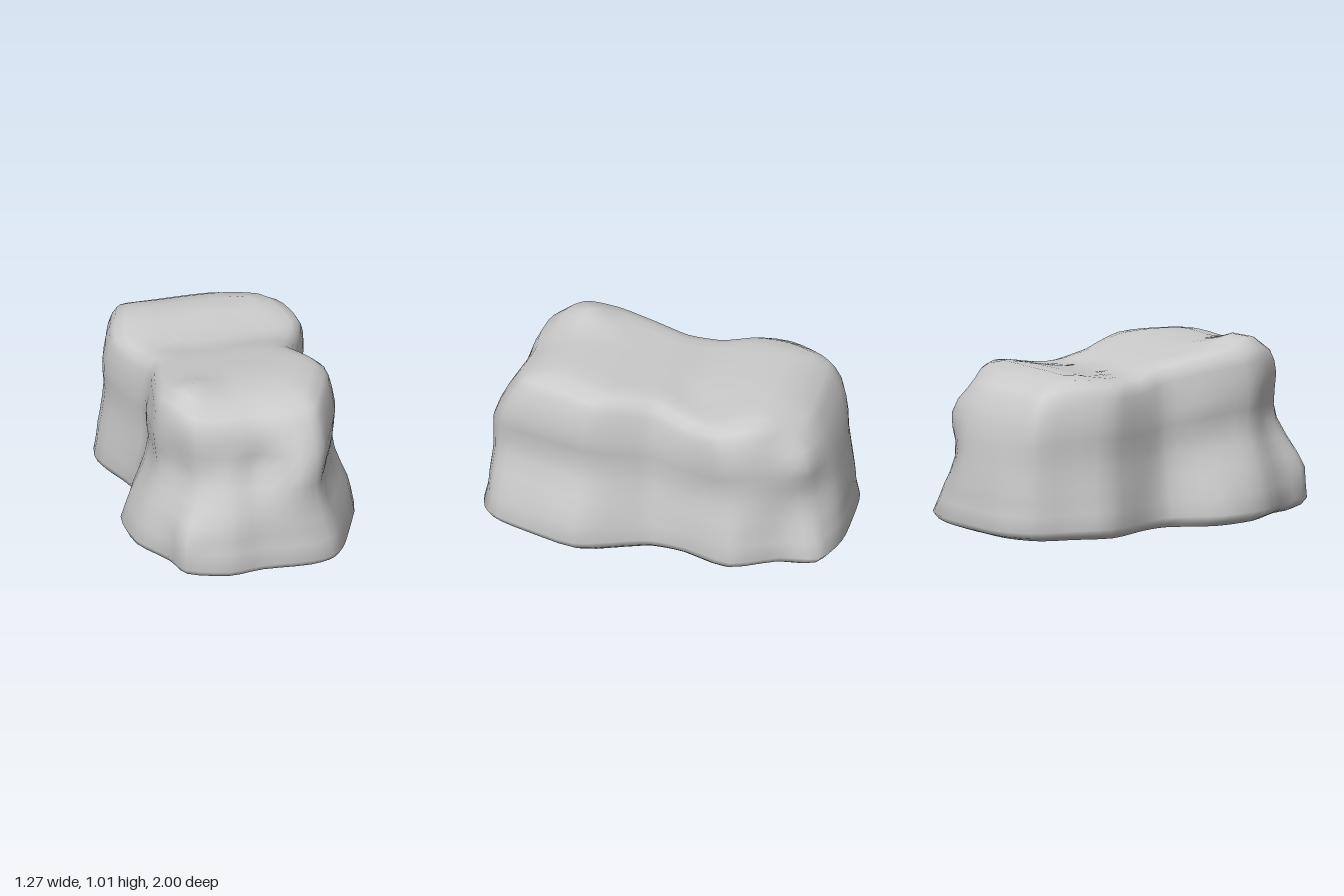
import * as THREE from 'three';

// Plan outlines as x, z pairs, running from the front round by +x
const FOOT = [0, .97, .27, .98, .43, .92, .53, .72, .63, .4, .55, .15, .5, 0, .52, -.2,
  .62, -.47, .5, -.72, .46, -.93, .25, -1, 0, -1, -.24, -.98, -.42, -.88, -.5, -.7,
  -.59, -.47, -.49, -.18, -.48, 0, -.62, .25, -.61, .52, -.48, .75, -.42, .92, -.2, 1];
const SHOULDER = [0, .79, .2, .81, .35, .78, .44, .6, .53, .34, .47, .13, .43, 0, .48, -.18,
  .56, -.4, .49, -.62, .41, -.81, .2, -.83, 0, -.83, -.22, -.82, -.4, -.82, -.47, -.65,
  -.53, -.4, -.46, -.18, -.41, 0, -.45, .2, -.5, .48, -.45, .65, -.36, .79, -.18, .81];

// Levels: [height share, scale, blend to shoulder in x, blend in z]
const LEVELS = [
  [.02, .3, 0, 0], [.024, .7, 0, 0], [.034, .91, 0, 0], [.06, .97, 0, 0], [.1, 1, 0, 0],
  [.2, .995, .18, .09], [.28, 1, .36, .14], [.36, 1, .58, .19], [.46, 1, .8, .27], [.56, 1, .92, .36],
  [.65, 1.01, .88, .48], [.74, 1.01, .88, .6], [.83, 1, 1, .72], [.9, .97, 1, .82],
  [.95, .93, 1, .84], [.985, .84, 1, 1], [1, .7, 1, 1], [1, .55, 1, 1], [1, .4, 1, 1], [1, .25, 1, 1], [1, .12, 1, 1],
];

// Ridge line of the top along z
const RIDGE = [[-1, .82], [-.8, .86], [-.57, .91], [-.4, .88], [-.2, .85], [0, .9], [.35, .96], [.6, .965], [.8, .94], [1, .92]];

// Hollows and swellings: [centre x, y, z, radius, shift x, y, z]
const DENTS = [
  [-.46, .58, .83, .24, .055, 0, -.09],  // hollow above the left front foot
  [-.45, .28, .9, .13, -.03, 0, .03],    // left front foot
  [-.18, .62, .87, .17, 0, 0, -.065],    // broad front hollow
  [.03, .62, .88, .11, 0, 0, -.065],     // front pit
  [.24, .6, .9, .14, 0, 0, .035],        // front column
  [.47, .48, .8, .18, -.03, 0, -.01],    // right front corner
  [.6, .2, .42, .16, .015, 0, 0],        // right front swelling
  [.55, .52, .48, .18, -.025, 0, 0],     // right front side
  [-.48, .6, .45, .2, .025, 0, 0],       // left front side
  [.54, .47, -.36, .18, -.025, 0, 0],    // right back side
  [.45, .4, -.93, .22, -.065, 0, .055],  // right back corner
  [.42, .82, -.8, .16, -.04, -.02, .05], // right back shoulder
];

function ridge(z) {
  let i = 0;
  while (i < RIDGE.length - 2 && z > RIDGE[i + 1][0]) i++;
  const [a, b] = [RIDGE[i], RIDGE[i + 1]];
  return THREE.MathUtils.lerp(a[1], b[1], THREE.MathUtils.clamp((z - a[0]) / (b[0] - a[0]), 0, 1));
}

// Top surface with a raised left front knob and a lower right back
function topHeight(x, z) {
  const knob = Math.exp(-((x + .32) ** 2 + (z - .57) ** 2) / .02);
  const dip = Math.exp(-((x - .4) ** 2 + (z + .3) ** 2) / .06);
  return (ridge(z - .06) + ridge(z) + ridge(z + .06)) / 3 + .06 * knob - .02 * dip;
}

function outline(flat) {
  const points = [];
  for (let i = 0; i < flat.length; i += 2) points.push(new THREE.Vector3(flat[i], 0, flat[i + 1]));
  return new THREE.CatmullRomCurve3(points, true, 'catmullrom', .4);
}

function dent(p) {
  const shift = new THREE.Vector3();
  for (const [x, y, z, r, dx, dy, dz] of DENTS) {
    const d2 = (p.x - x) ** 2 + (p.y - y) ** 2 + (p.z - z) ** 2;
    shift.addScaledVector(new THREE.Vector3(dx, dy, dz), Math.exp(-d2 / (r * r)));
  }
  return p.add(shift);
}

function boulderGeometry() {
  const n = 72, positions = [], index = [];
  const foot = outline(FOOT), shoulder = outline(SHOULDER);
  for (const [share, scale, bx, bz] of LEVELS) {
    for (let i = 0; i < n; i++) {
      const a = foot.getPoint(i / n), b = shoulder.getPoint(i / n);
      const x = THREE.MathUtils.lerp(a.x, b.x, bx) * scale;
      const z = THREE.MathUtils.lerp(a.z, b.z, bz) * scale;
      const p = dent(new THREE.Vector3(x, share * topHeight(x, z), z));
      positions.push(p.x, p.y, p.z);
    }
  }
  // Skin between neighbouring levels
  for (let j = 0; j < LEVELS.length - 1; j++) {
    for (let i = 0; i < n; i++) {
      const k = (i + 1) % n, a = j * n + i, b = j * n + k;
      index.push(a, b, b + n, a, b + n, a + n);
    }
  }
  // Close the underside and the top
  const low = positions.length / 3, high = low + 1, last = (LEVELS.length - 1) * n;
  positions.push(0, 0, 0, 0, topHeight(0, 0), 0);
  for (let i = 0; i < n; i++) {
    const k = (i + 1) % n;
    index.push(low, k, i, high, last + i, last + k);
  }
  const geometry = new THREE.BufferGeometry();
  geometry.setAttribute('position', new THREE.Float32BufferAttribute(positions, 3));
  geometry.setIndex(index);
  geometry.computeVertexNormals();
  return geometry;
}

export function createModel() {
  const group = new THREE.Group();
  group.name = 'rock';
  const boulder = new THREE.Mesh(boulderGeometry(), new THREE.MeshStandardMaterial({ color: 0xcccccc }));
  boulder.name = 'boulder';
  group.add(boulder);
  return group;
}
